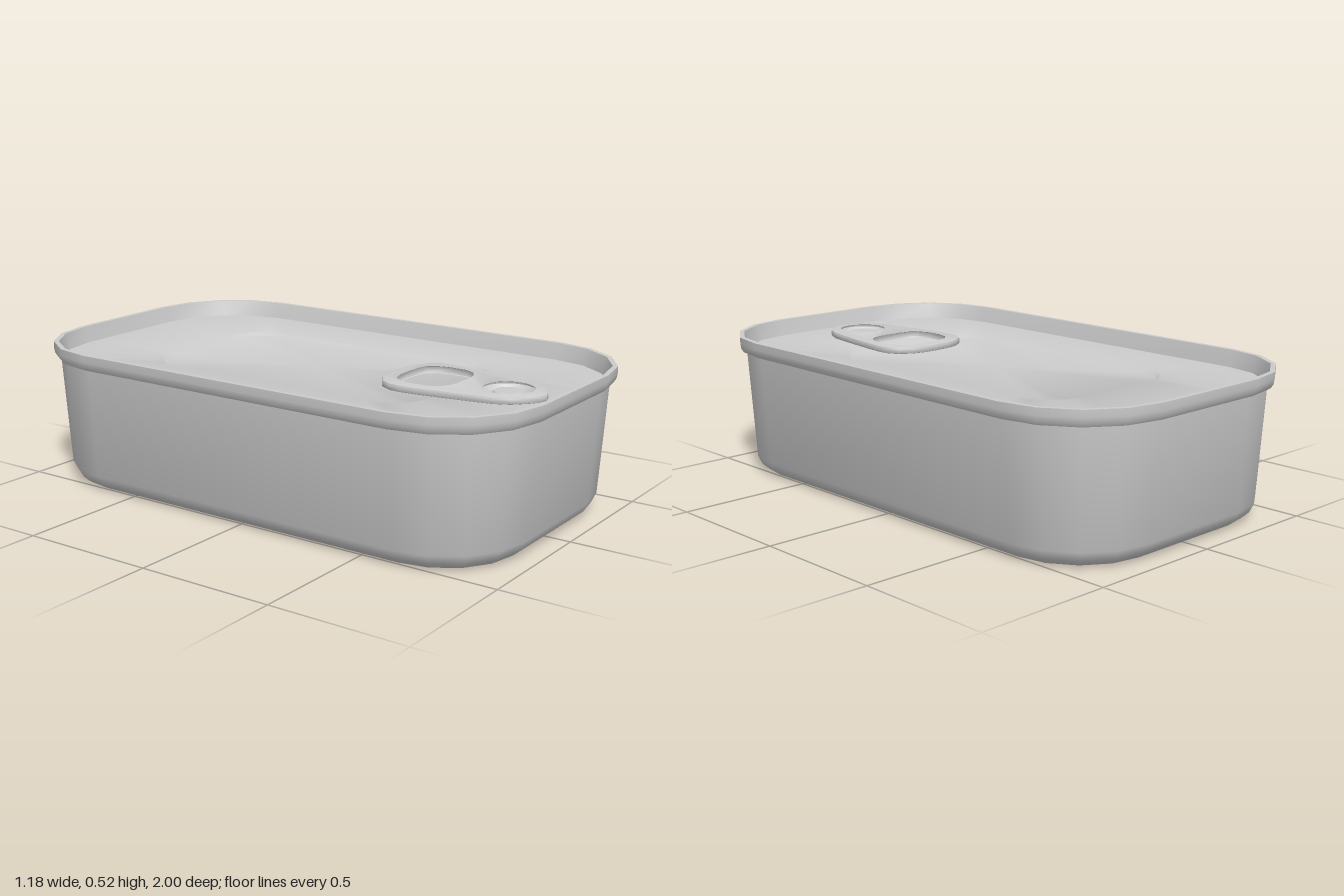
import * as THREE from 'three';
import { toCreasedNormals } from 'three/addons/utils/BufferGeometryUtils.js';

const CORNER_STEPS = 4;
const HALF_X = 0.592, HALF_Z = 1, RADIUS = 0.36;

// Rounded rectangle loop, running from +x towards +z
function ring({ hx, hz, r, y, cz = 0 }) {
  const points = [];
  const corners = [[1, 1], [-1, 1], [-1, -1], [1, -1]];
  corners.forEach(([sx, sz], q) => {
    for (let i = 0; i <= CORNER_STEPS; i++) {
      const a = (q + i / CORNER_STEPS) * Math.PI / 2;
      points.push([sx * (hx - r) + r * Math.cos(a), y, cz + sz * (hz - r) + r * Math.sin(a)]);
    }
  });
  return points;
}

// Skin over a list of rings, optionally closed to a centre point at either end
function loft(rings, capStart, capEnd) {
  const loops = rings.map(ring);
  const n = loops[0].length;
  const positions = loops.flat(2);
  const index = [];
  for (let i = 0; i < loops.length - 1; i++) {
    for (let j = 0; j < n; j++) {
      const a = i * n + j, c = i * n + (j + 1) % n;
      index.push(a, a + n, c, c, a + n, c + n);
    }
  }
  const last = (loops.length - 1) * n;
  const centre = (s) => positions.push(0, s.y, s.cz || 0) / 3 - 1;
  if (capStart) {
    const m = centre(rings[0]);
    for (let j = 0; j < n; j++) index.push(m, j, (j + 1) % n);
  }
  if (capEnd) {
    const m = centre(rings[rings.length - 1]);
    for (let j = 0; j < n; j++) index.push(last + j, m, last + (j + 1) % n);
  }
  const geometry = new THREE.BufferGeometry();
  geometry.setAttribute('position', new THREE.Float32BufferAttribute(positions, 3));
  geometry.setIndex(index);
  return toCreasedNormals(geometry, 0.62);
}

// Ring set in from the outermost edge of the tin
const inset = ([d, y]) => ({ hx: HALF_X - d, hz: HALF_Z - d, r: RADIUS - d, y });

// Mirrored outline from half points given as [x, z]
function mirrored(half, PathType) {
  const right = half.map(([x, z]) => new THREE.Vector2(x, -z));
  const left = half.slice(1, -1).reverse().map(([x, z]) => new THREE.Vector2(-x, -z));
  return new PathType([...right, ...left]);
}

export function createModel() {
  const group = new THREE.Group();
  const material = new THREE.MeshStandardMaterial({ color: 0xcccccc, side: THREE.DoubleSide });
  const add = (name, geometry) => {
    const mesh = new THREE.Mesh(geometry, material);
    mesh.name = name;
    group.add(mesh);
    return mesh;
  };

  // Tapered body with rounded base edge and rolled rim
  add('body', loft([
    [0.16, 0.008], [0.135, 0.002], [0.11, 0], [0.09, 0.006], [0.066, 0.027], [0.05, 0.06],
    [0.025, 0.465], [0.012, 0.468], [0.003, 0.482], [0, 0.5], [0, 0.525], [0.018, 0.525],
  ].map(inset), true, false));

  // Sunken lid with a shallow pressed panel
  const panel = (d, y) => ({ hx: 0.33 - d, hz: 0.58 - d, r: 0.16 - d, y, cz: -0.025 });
  add('lid', loft([
    ...[[0.018, 0.525], [0.034, 0.465]].map(inset),
    panel(0, 0.465), panel(0.005, 0.463), panel(0.017, 0.455), panel(0.022, 0.453),
  ], false, true));

  // Pull tab with finger opening and rivet hole
  const outline = mirrored([
    [0, 0.3], [0.06, 0.303], [0.11, 0.315], [0.155, 0.345], [0.177, 0.385], [0.181, 0.43],
    [0.176, 0.49], [0.16, 0.6], [0.145, 0.7], [0.133, 0.76], [0.108, 0.815], [0.06, 0.86],
    [0.025, 0.883], [0, 0.89],
  ], THREE.Shape);
  outline.holes.push(mirrored([
    [0, 0.345], [0.06, 0.349], [0.105, 0.362], [0.132, 0.395], [0.142, 0.44], [0.141, 0.51],
    [0.122, 0.55], [0.09, 0.573], [0.05, 0.582], [0, 0.583],
  ], THREE.Path));
  outline.holes.push(new THREE.Path().absarc(0, -0.75, 0.095, 0, Math.PI * 2, true));
  const bevel = 0.007;
  const tab = new THREE.ExtrudeGeometry(outline, {
    depth: 0.012, bevelThickness: bevel, bevelSize: bevel, bevelOffset: -bevel,
    bevelSegments: 2, curveSegments: 10,
  });
  tab.rotateX(-Math.PI / 2);
  add('pullTab', toCreasedNormals(tab, 0.62)).position.y = 0.466 + bevel;

  // Dished seat and rivet holding the tab
  const lathe = (points) => toCreasedNormals(
    new THREE.LatheGeometry(points.map(([x, y]) => new THREE.Vector2(x, y)), 20), 0.62);
  add('rivetSeat', lathe([[0, 0.469], [0.078, 0.469], [0.094, 0.484]])).position.z = 0.75;
  add('rivet', lathe([[0.056, 0.468], [0.056, 0.477], [0.05, 0.483], [0.035, 0.484], [0, 0.484]]))
    .position.z = 0.75;

  return group;
}
